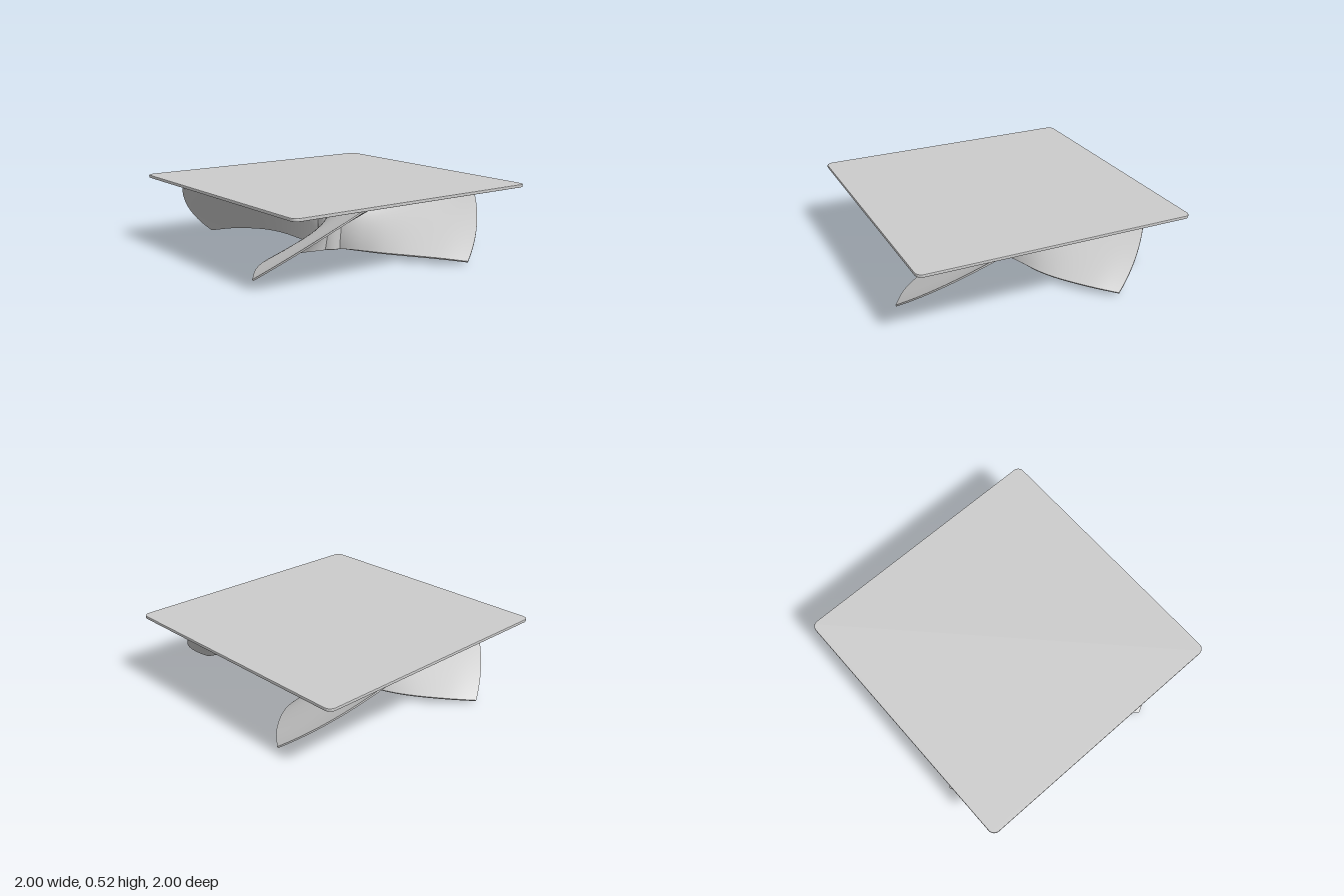
import * as THREE from 'three';
import { toCreasedNormals } from 'three/addons/utils/BufferGeometryUtils.js';

const material = new THREE.MeshStandardMaterial({ color: 0xcccccc });

// Square top with rounded corners and a slightly softened rim
function makeTop() {
  const bevel = 0.005, h = 1 - bevel, r = 0.045;
  const shape = new THREE.Shape();
  shape.absarc(h - r, h - r, r, 0, Math.PI / 2);
  shape.absarc(-h + r, h - r, r, Math.PI / 2, Math.PI);
  shape.absarc(-h + r, -h + r, r, Math.PI, Math.PI * 1.5);
  shape.absarc(h - r, -h + r, r, Math.PI * 1.5, Math.PI * 2);
  const geometry = new THREE.ExtrudeGeometry(shape, {
    depth: 0.012, bevelEnabled: true, bevelSize: bevel, bevelThickness: bevel, bevelSegments: 2, curveSegments: 8,
  });
  geometry.rotateX(-Math.PI / 2);
  geometry.translate(0, 0.503, 0);
  const top = new THREE.Mesh(geometry, material);
  top.name = 'tabletop';
  return top;
}

// Hollow hub joining the blades
function makeHub() {
  const profile = [[0.074, 0.5], [0.074, 0.006], [0.08, 0], [0.086, 0], [0.092, 0.006], [0.092, 0.5]]
    .map(([x, y]) => new THREE.Vector2(x, y)).reverse();
  // the profile is listed bottom to top on the outside
  const geometry = new THREE.LatheGeometry(profile, 40);
  const hub = new THREE.Mesh(geometry, material.clone());
  hub.material.side = THREE.DoubleSide;
  hub.name = 'hub';
  return hub;
}

// Twisted blade: leaning cross-sections lofted outward along a diagonal
function makeBladeGeometry() {
  // x: distance outward, y: half sideways lean, z: rise of the lower edge
  const guide = new THREE.CatmullRomCurve3([
    [0.08, 0.035, 0], [0.177, 0.106, 0.012], [0.262, 0.167, 0.022], [0.42, 0.275, 0.038],
    [0.58, 0.34, 0.046], [0.83, 0.372, 0.04], [1.02, 0.354, 0.02],
  ].map((p) => new THREE.Vector3(...p)));
  const outSteps = 36, upSteps = 20, ring = 2 * (upSteps + 1);
  const positions = [], index = [];

  for (let i = 0; i <= outSteps; i++) {
    const s = i / outSteps;
    const g = guide.getPoint(s);
    const low = g.z, high = 0.5 - g.z + 0.01 * s;
    const length = Math.hypot(high - low, 2 * g.y);
    const half = 0.006 + 0.012 * (1 - s) ** 5;
    for (let k = 0; k < ring; k++) {
      const side = k <= upSteps ? 1 : -1;
      const j = side > 0 ? k : ring - 1 - k;
      const t = (2 * j) / upSteps - 1;
      // the tip bows outward at mid height
      const u = g.x * (1 + 0.059 * s * (1 - t * t));
      const v = g.y * t + side * half * (high - low) / length;
      const y = THREE.MathUtils.clamp(
        THREE.MathUtils.lerp(low, high, j / upSteps) - side * half * 2 * g.y / length, 0, 0.5);
      positions.push((u + v) * Math.SQRT1_2, y, (u - v) * Math.SQRT1_2);
    }
  }
  for (let i = 0; i < outSteps; i++) {
    for (let k = 0; k < ring; k++) {
      const a = i * ring + k, b = i * ring + ((k + 1) % ring);
      index.push(a, b, a + ring, b, b + ring, a + ring);
    }
  }
  // Close the outer tip
  const base = outSteps * ring;
  for (let j = 0; j < upSteps; j++) {
    const f = base + j, b = base + ring - 1 - j;
    index.push(f, f + 1, b, f + 1, b - 1, b);
  }
  const geometry = new THREE.BufferGeometry();
  geometry.setAttribute('position', new THREE.Float32BufferAttribute(positions, 3));
  geometry.setIndex(index);
  return toCreasedNormals(geometry, Math.PI / 5);
}

export function createModel() {
  const model = new THREE.Group();
  model.name = 'pinwheelTable';
  model.add(makeTop(), makeHub());

  const bladeGeometry = makeBladeGeometry();
  for (let i = 0; i < 4; i++) {
    const blade = new THREE.Mesh(bladeGeometry, material);
    blade.name = `blade${i + 1}`;
    blade.rotation.y = (i * Math.PI) / 2;
    model.add(blade);
  }
  return model;
}
